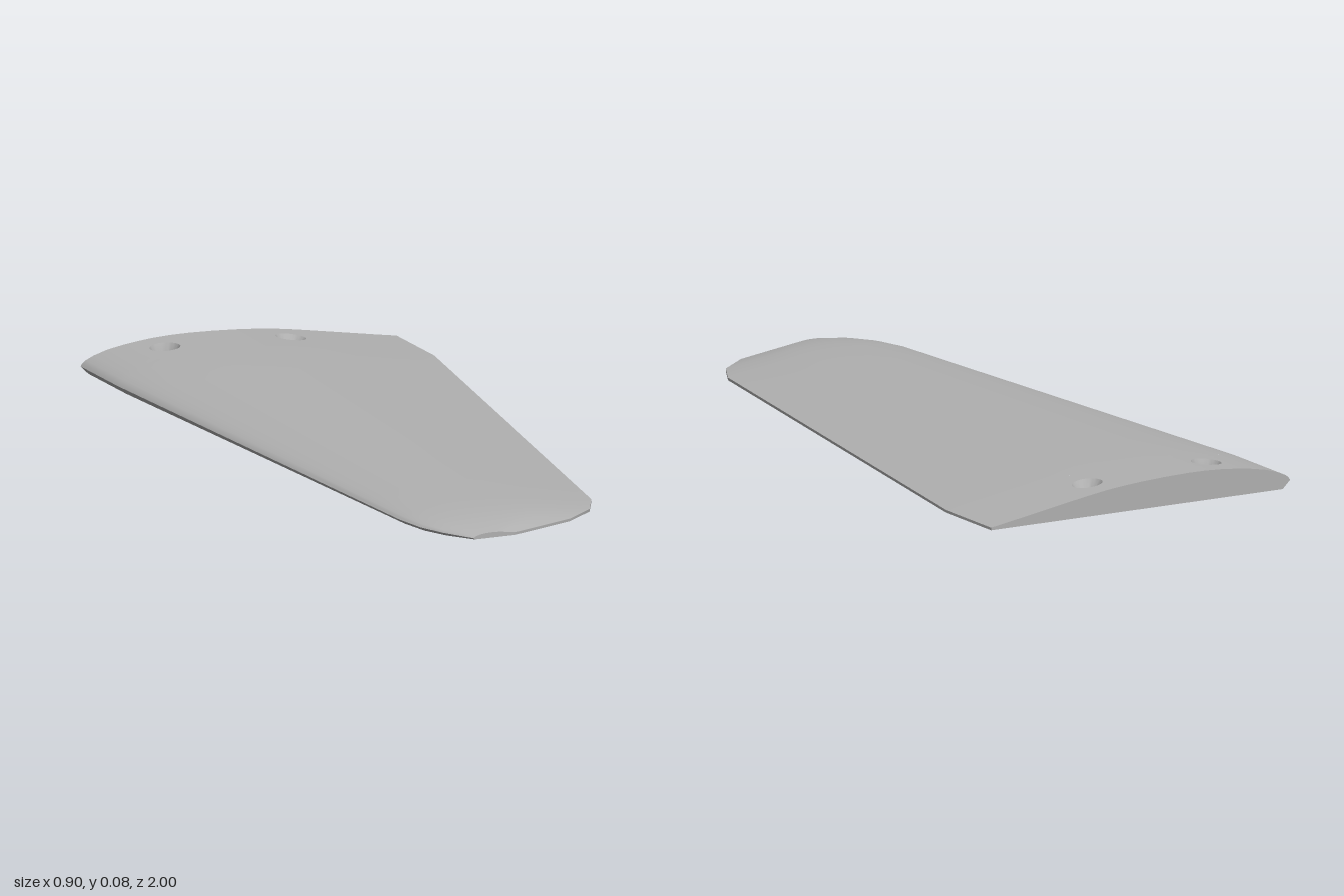
import * as THREE from 'three';
import { toCreasedNormals } from 'three/addons/utils/BufferGeometryUtils.js';

// Spanwise stations: z, leading edge x, trailing edge x, thickness
const STATIONS = [
  [-1, -0.4525, 0.4525, 0.079],
  [-0.81, -0.4525, 0.4525, 0.079],
  [-0.77, -0.4525, 0.4525, 0.079],
  [0.77, -0.365, 0.185, 0.042],
  [0.86, -0.348, 0.138, 0.036],
  [0.93, -0.315, 0.05, 0.028],
  [0.975, -0.28, -0.07, 0.018],
  [1, -0.26, -0.14, 0.012],
];
// Upper airfoil curve: chord fraction, height fraction
const PROFILE = [
  [0, 0.28], [0.006, 0.38], [0.017, 0.47], [0.04, 0.59], [0.08, 0.73], [0.125, 0.83],
  [0.17, 0.9], [0.22, 0.96], [0.28, 0.995], [0.34, 1], [0.42, 0.975], [0.5, 0.925],
  [0.56, 0.87], [0.61, 0.81], [0.665, 0.72], [0.72, 0.62], [0.83, 0.41], [0.94, 0.2], [1, 0.09],
];
const BEVEL = 0.025; // underside starts this far behind the leading edge
const TE = 0.007; // trailing edge thickness
const HOLES = [-0.255, 0.105];
const HOLE_Z = -0.905, PATCH = 0.095, R_TOP = 0.04, R_LOW = 0.022, SEAT = 0.035;
const CHORD = 0.905;

function heightAt(t, h) {
  let i = 1;
  while (i < PROFILE.length - 1 && PROFILE[i][0] < t) i++;
  const [t0, f0] = PROFILE[i - 1], [t1, f1] = PROFILE[i];
  const f = f0 + ((f1 - f0) * (t - t0)) / (t1 - t0);
  return h * f + (TE - 0.09 * h) * t;
}
const toT = (x) => (x + CHORD / 2) / CHORD;
const rootTop = (x) => heightAt(toT(x), 0.079);

function gridGeometry(rows, keep = () => true) {
  const pos = [], index = [], n = rows[0].length;
  rows.forEach((r) => r.forEach((p) => pos.push(...p)));
  for (let i = 0; i < rows.length - 1; i++)
    for (let j = 0; j < n - 1; j++) {
      if (!keep(i, j)) continue;
      const a = i * n + j, b = a + 1, c = a + n, d = c + 1;
      index.push(a, c, b, b, c, d);
    }
  const g = new THREE.BufferGeometry();
  g.setAttribute('position', new THREE.Float32BufferAttribute(pos, 3));
  g.setIndex(index);
  return toCreasedNormals(g, 0.5);
}

export function createModel() {
  const group = new THREE.Group();
  const grey = new THREE.MeshStandardMaterial({ color: 0xb0b0b0 });
  grey.name = 'plain grey';
  const add = (name, geometry) => {
    const mesh = new THREE.Mesh(geometry, grey);
    mesh.name = name;
    group.add(mesh);
  };

  // Chord fractions, including the borders of the hole patches
  const ts = PROFILE.map((p) => p[0]);
  HOLES.forEach((x) => ts.push(toT(x - PATCH), toT(x + PATCH)));
  ts.sort((a, b) => a - b);

  // One open section: bevel, leading edge, upper curve, trailing edge
  const section = ([z, x0, x1, h]) => {
    const c = x1 - x0;
    return [
      [x0 + BEVEL * c, 0, z],
      ...ts.map((t) => [x0 + t * c, heightAt(t, h), z]),
      [x1, 0, z],
    ];
  };
  // Subdivide the long tapered span
  const spans = [];
  STATIONS.forEach((s, i) => {
    spans.push(s);
    if (i === 2)
      for (let k = 1; k < 8; k++)
        spans.push(s.map((v, m) => v + ((STATIONS[3][m] - v) * k) / 8));
  });
  const rows = spans.map(section);
  const inPatch = (t) => HOLES.some((x) => Math.abs(t - toT(x)) < PATCH / CHORD);
  add('upperSkin', gridGeometry(rows, (i, j) => {
    if (i > 0 || j < 1 || j >= ts.length) return true;
    return !inPatch((ts[j - 1] + ts[j]) / 2);
  }));

  // Skin around each hole, and the countersunk hole itself
  const K = 48;
  HOLES.forEach((hx, n) => {
    const ring = (fn) => Array.from({ length: K + 1 }, (_, k) => {
      const a = (k / K) * Math.PI * 2;
      return fn(Math.cos(a), Math.sin(a));
    });
    const patchRows = [];
    for (let s = 0; s <= 5; s++)
      patchRows.push(ring((c, d) => {
        const edge = PATCH / Math.max(Math.abs(c), Math.abs(d));
        const r = R_TOP + ((edge - R_TOP) * s) / 5;
        const x = hx + r * c;
        return [x, rootTop(x), HOLE_Z + r * d];
      }));
    patchRows.reverse();
    add('holeSurround' + (n + 1), gridGeometry(patchRows));
    add('countersunkHole' + (n + 1), gridGeometry([
      ring((c, d) => [hx + R_TOP * c, rootTop(hx + R_TOP * c), HOLE_Z + R_TOP * d]),
      ring((c, d) => [hx + R_LOW * c, SEAT, HOLE_Z + R_LOW * d]),
      ring((c, d) => [hx + R_LOW * c, 0, HOLE_Z + R_LOW * d]),
    ]));
  });

  // Flat underside with the two screw holes
  const left = rows.map((r) => new THREE.Vector2(r[0][0], r[0][2]));
  const right = rows.map((r) => new THREE.Vector2(r[r.length - 1][0], r[0][2]));
  const plan = new THREE.Shape([...left, ...right.reverse()]);
  HOLES.forEach((x) => plan.holes.push(new THREE.Path().absarc(x, HOLE_Z, R_LOW, 0, Math.PI * 2)));
  add('underside', new THREE.ShapeGeometry(plan, 24).rotateX(Math.PI / 2));

  // Closing faces at root and tip
  const cap = (row, sign) => new THREE.ShapeGeometry(
    new THREE.Shape(row.map((p) => new THREE.Vector2(p[0] * sign, p[1]))));
  add('rootFace', cap(rows[0], -1).rotateY(Math.PI).translate(0, 0, -1));
  add('tipFace', cap(rows[rows.length - 1], 1).translate(0, 0, 1));
  return group;
}
